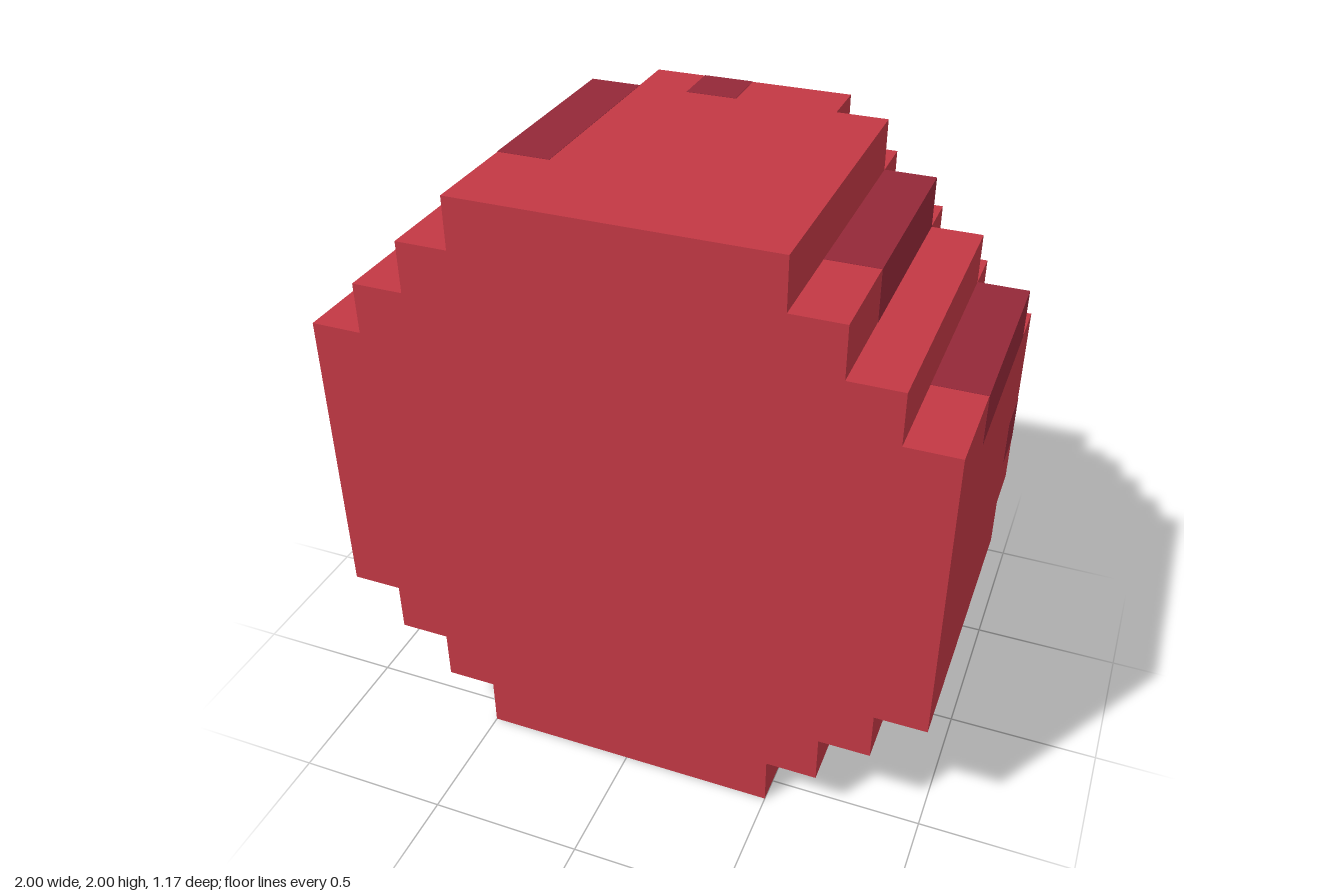
import * as THREE from 'three';

const U = 1 / 6; // one block of the 12 x 12 x 7 grid
const SKIN = 0.001; // how far inlaid blocks stand proud
const material = (color) => new THREE.MeshStandardMaterial({ color, flatShading: true });

// Stepped round slab; halfWidths lists the rows from the edge to the middle.
function steppedSlab(halfWidths, depth) {
  const rows = [...halfWidths, ...[...halfWidths].reverse()];
  const right = rows.flatMap((w, j) => [[w, j], [w, j + 1]]);
  const left = [...right].reverse().map(([x, y]) => [-x, y]);
  const points = [...right, ...left]
    .filter(([x, y], i, a) => {
      // drop points in the middle of a straight side
      const [px, py] = a[(i + a.length - 1) % a.length];
      const [nx, ny] = a[(i + 1) % a.length];
      return (x - px) * (ny - y) !== (y - py) * (nx - x);
    })
    .map(([x, y]) => new THREE.Vector2(x * U, y * U));
  return new THREE.ExtrudeGeometry(new THREE.Shape(points), { depth: depth * U, bevelEnabled: false });
}

export function createModel() {
  const group = new THREE.Group();
  const red = material(0xc23844);
  const dark = material(0x932838);
  const pale = material(0xe0606e);

  // Thick drum with a flat front
  const drum = new THREE.Mesh(steppedSlab([3, 4, 5, 6, 6, 6], 6), red);
  drum.name = 'drum';
  drum.position.z = -2.5 * U;
  group.add(drum);

  // Smaller plate on the back
  const plate = new THREE.Mesh(steppedSlab([2, 3, 4, 5, 6, 6], 1), red);
  plate.name = 'backPlate';
  plate.position.z = -3.5 * U;
  group.add(plate);

  // Coloured blocks set flush in the surface; column and row count from the lower -x corner
  function inlay(name, mat, column, row, height, zBack, depth) {
    const mesh = new THREE.Mesh(
      new THREE.BoxGeometry(U + 2 * SKIN, height * U + 2 * SKIN, depth * U + 2 * SKIN), mat);
    mesh.name = name;
    mesh.position.set((column - 5.5) * U, (row + height / 2) * U, (zBack + depth / 2) * U);
    group.add(mesh);
  }

  // Long dark strips around the rim
  const strips = [[9, 10], [11, 8], [10, 2], [8, 0], [3, 11], [1, 9], [0, 6], [1, 2], [3, 0]];
  for (const [column, row] of strips) inlay('rimStrip', dark, column, row, 1, -2.5, 4);

  // Dark patches on the back plate: column, row, height
  const patches = [[11, 5, 1], [8, 6, 2], [7, 8, 1], [5, 11, 1], [6, 0, 1], [0, 6, 1]];
  for (const [column, row, height] of patches) inlay('darkPatch', dark, column, row, height, -3.5, 1);

  // Pale patches on the back plate
  for (const [column, row] of [[2, 5], [3, 3]]) inlay('palePatch', pale, column, row, 1, -3.5, 1);

  return group;
}
